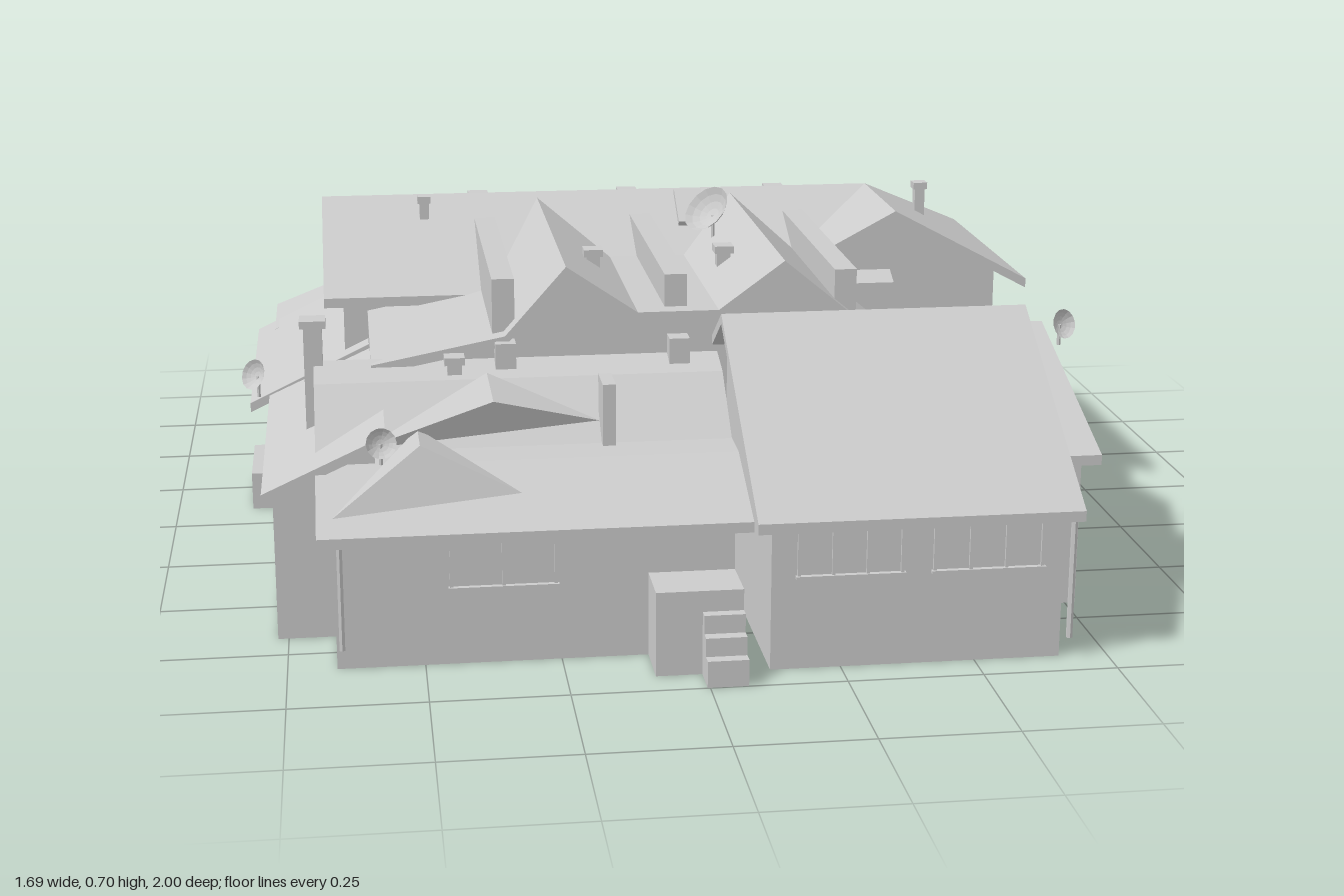
import * as THREE from 'three';
import { mergeGeometries } from 'three/addons/utils/BufferGeometryUtils.js';

export function createModel() {
  const model = new THREE.Group();
  const mat = new THREE.MeshStandardMaterial({ color: 0xcccccc, flatShading: true, side: THREE.DoubleSide });
  const add = (name, geo, parent = model) => {
    const m = new THREE.Mesh(geo, mat);
    m.name = name;
    parent.add(m);
    return m;
  };
  // Box from its limits
  const box = (name, x0, x1, y0, y1, z0, z1) =>
    add(name, new THREE.BoxGeometry(x1 - x0, y1 - y0, z1 - z0)
      .translate((x0 + x1) / 2, (y0 + y1) / 2, (z0 + z1) / 2));
  // Loose triangles from a list of corners
  const triangles = (name, ...corners) => {
    const geo = new THREE.BufferGeometry();
    geo.setAttribute('position', new THREE.Float32BufferAttribute(corners.flat(), 3));
    geo.computeVertexNormals();
    return add(name, geo);
  };
  const shapeOf = pts => new THREE.Shape(pts.map(p => new THREE.Vector2(p[0], p[1])));

  // Thick folded roof sheet: profile [across, y], running along 'x' or 'z' from a to b
  const roof = (name, axis, pts, a, b, t = 0.02) => {
    const under = pts.map(([u, y]) => [u, y - t]).reverse();
    const geo = new THREE.ExtrudeGeometry(shapeOf([...pts, ...under]), { depth: b - a, bevelEnabled: false });
    if (axis === 'z') geo.translate(0, 0, a);
    else geo.translate(0, 0, -b).rotateY(-Math.PI / 2);
    return add(name, geo);
  };

  // Open-bottomed walls that follow a roof profile, set in from the eaves
  const walls = (name, axis, pts, a, b, inset = 0.03) => {
    const p = pts.map(([u, y]) => [u, y - 0.012]);
    const pull = (end, next) => {
      const f = inset / Math.abs(next[0] - end[0]);
      return [end[0] + (next[0] - end[0]) * f, end[1] + (next[1] - end[1]) * f];
    };
    const n = p.length - 1;
    const first = pull(p[0], p[1]), last = pull(p[n], p[n - 1]);
    p[0] = first;
    p[n] = last;
    const end = shapeOf([[first[0], 0], ...p, [last[0], 0]]);
    const parts = [a, b].map(d => new THREE.ShapeGeometry(end).translate(0, 0, d));
    for (const [u, y] of [first, last])
      parts.push(new THREE.PlaneGeometry(b - a, y).rotateY(Math.PI / 2).translate(u, y / 2, (a + b) / 2));
    const geo = mergeGeometries(parts);
    if (axis === 'x') geo.scale(1, 1, -1).rotateY(-Math.PI / 2);
    return add(name, geo);
  };

  // A wing is a roof with walls below it
  const wing = (name, axis, pts, a, b, over = [0.03, 0.03], inset = 0.03) => {
    roof(name + 'Roof', axis, pts, a, b);
    walls(name + 'Walls', axis, pts, a + over[0], b - over[1], inset);
  };

  // Main range along the back, with a front gable and hipped corner at its +x end
  wing('main', 'x', [[-0.58, 0.5], [-0.27, 0.655], [0.04, 0.5]], -0.67, 0.54, [0.04, 0], 0.05);
  const crossGable = [[0.25, 0.5], [0.54, 0.655], [0.83, 0.5]];
  walls('crossGableWalls', 'z', crossGable, -0.24, 0.0, 0.06);
  roof('crossGableRoof', 'z', crossGable, -0.27, 0.04);
  const P = [0.54, 0.655, -0.27], E = [0.83, 0.5, -0.58], M = [0.54, 0.5, -0.58], S = [0.83, 0.5, -0.27];
  triangles('hipRoof', P, E, M, P, S, E);
  box('hipFasciaBack', 0.54, 0.83, 0.48, 0.5, -0.58, -0.565);
  box('hipFasciaSide', 0.815, 0.83, 0.48, 0.5, -0.58, -0.27);
  add('cornerWallBack', new THREE.PlaneGeometry(0.23, 0.49).translate(0.655, 0.245, -0.53));
  add('cornerWallSide', new THREE.PlaneGeometry(0.53, 0.49).rotateY(Math.PI / 2).translate(0.77, 0.245, -0.265));

  // Twin ridges running forward, with side slopes and three tall upstands
  wing('twinRidge', 'z', [[-0.58, 0.46], [-0.32, 0.51], [-0.2, 0.645], [-0.06, 0.55], [0.1, 0.55],
    [0.23, 0.645], [0.54, 0.39]], -0.27, 0.43, [0.1, 0.02], 0.02);
  for (const x of [-0.32, 0.02, 0.36]) {
    box('ridgeUpstand', x - 0.022, x + 0.022, 0.48, 0.615, -0.2, 0.39);
    box('upstandFoot', x - 0.02, x + 0.02, 0.42, 0.5, 0.39, 0.45);
    box('rearVent', x - 0.022, x + 0.022, 0.54, 0.625, -0.45, -0.35);
  }
  // Shallow gablets on the rear slope
  for (const x of [-0.19, 0.23]) {
    const A = [x, 0.642, -0.31], B = [x - 0.12, 0.545, -0.51], C = [x + 0.12, 0.545, -0.51], D = [x, 0.6, -0.4];
    triangles('rearGablet', A, D, B, A, C, D);
  }

  // Steep front block at +x
  wing('frontBlock', 'x', [[0.96, 0.29], [0.52, 0.565], [0.34, 0.45]], 0.09, 0.69);

  // Stepped front range at -x, with two small gables that die into its slope
  wing('frontRange', 'x', [[0.86, 0.26], [0.68, 0.338], [0.6, 0.34], [0.48, 0.44], [0.4, 0.465]], -0.69, 0.1);
  roof('frontRangeBackSlope', 'x', [[0.48, 0.44], [0.3, 0.38]], -0.69, -0.56);
  const gablet = (name, back, ridge, left, right) => {
    triangles(name + 'Roof', back, left, ridge, back, ridge, right);
    triangles(name + 'Face', ridge, left, right);
  };
  gablet('upperFrontGable', [-0.36, 0.455, 0.49], [-0.36, 0.455, 0.69], [-0.6, 0.37, 0.68], [-0.16, 0.4, 0.65]);
  gablet('lowerFrontGable', [-0.5, 0.4, 0.66], [-0.5, 0.41, 0.8], [-0.66, 0.29, 0.835], [-0.32, 0.325, 0.835]);

  // Side wings at +x
  wing('sideWing', 'x', [[0.7, 0.31], [0.27, 0.465], [0.04, 0.4]], 0.38, 0.8);
  wing('lowSideWing', 'x', [[0.29, 0.26], [0.03, 0.41], [-0.18, 0.335], [-0.44, 0.28]], 0.5, 0.83, [0.03, 0.05]);

  // Lean-to along the -x side
  wing('rearLeanTo', 'z', [[-0.83, 0.28], [-0.58, 0.4]], -0.58, 0.04, [0.02, 0.0], 0.05);
  wing('frontLeanTo', 'z', [[-0.79, 0.295], [-0.56, 0.4]], 0.04, 0.7, [0, 0.03], 0.02);

  // Rear gabled wings and terrace
  wing('rearWingA', 'z', [[-0.05, 0.32], [0.33, 0.42], [0.65, 0.33]], -0.82, -0.5, [0.03, 0]);
  wing('rearWingB', 'z', [[-0.79, 0.3], [-0.38, 0.46], [0.02, 0.31]], -0.74, -0.5, [0.03, 0]);
  wing('terrace', 'x', [[-0.7, 0.115], [-1, 0.115]], -0.67, 0.33, [0, 0], 0);
  box('terraceKerb', 0.27, 0.33, 0.115, 0.125, -1, -0.79);
  box('rearRoofBox', -0.5, -0.33, 0.42, 0.52, -0.63, -0.57);
  box('sideBench', -0.84, -0.77, 0, 0.08, -0.31, -0.1);

  // Porch and steps
  box('porch', -0.09, 0.07, 0, 0.16, 0.8, 0.935);
  for (let i = 0; i < 3; i++)
    box('step', -0.005, 0.07, 0, 0.12 - i * 0.035, 0.93 + i * 0.022, 0.955 + i * 0.022);

  // Framed windows: on x walls (side) or z walls (front)
  const windowAt = (axis, at, u0, u1, y0, y1, panes = 1) => {
    const put = (n, a, b, c, d, t) => axis === 'z'
      ? box(n, a, b, c, d, at - t, at + t) : box(n, at - t, at + t, a > b ? b : c, a > b ? a : d, a, b);
    const f = 0.006;
    put('windowSill', u0 - f, u1 + f, y0 - f, y0, 0.01);
    put('windowHead', u0, u1, y1 - f, y1, 0.006);
    for (let i = 0; i <= panes; i++) {
      const u = u0 + (u1 - u0) * i / panes;
      put('windowBar', u - f / 2, u + f / 2, y0, y1, 0.006);
    }
  };
  windowAt('z', 0.93, 0.17, 0.36, 0.18, 0.28, 3);
  windowAt('z', 0.93, 0.42, 0.62, 0.18, 0.28, 3);
  windowAt('z', 0.83, -0.45, -0.26, 0.15, 0.245, 2);
  for (const z of [0.02, -0.16, -0.34]) windowAt('x', 0.8, z - 0.04, z + 0.04, 0.21, 0.25);
  windowAt('x', 0.77, -0.265, -0.19, 0.36, 0.48);
  windowAt('x', -0.78, -0.5, -0.15, 0.12, 0.25, 3);
  box('sideLedge', 0.77, 0.81, 0.125, 0.137, -0.44, -0.08);
  box('sidePipe', 0.77, 0.78, 0.17, 0.178, 0.38, 0.49);
  box('rearRail', 0.05, 0.5, 0.2, 0.21, -0.8, -0.785);

  // Chimneys and roof vents
  const chimney = (x, z, y0, y1, r) => {
    box('chimney', x - r, x + r, y0, y1, z - r, z + r);
    box('chimneyCap', x - r * 1.4, x + r * 1.4, y1 - 0.015, y1, z - r * 1.4, z + r * 1.4);
  };
  chimney(-0.69, 0.4, 0.3, 0.55, 0.018);
  chimney(0.66, -0.25, 0.54, 0.66, 0.011);
  chimney(-0.45, -0.2, 0.58, 0.665, 0.01);
  chimney(-0.12, 0.16, 0.55, 0.62, 0.014);
  chimney(0.15, 0.16, 0.55, 0.62, 0.014);
  chimney(-0.42, 0.45, 0.42, 0.48, 0.014);
  chimney(0.52, 0.33, 0.42, 0.49, 0.014);
  box('roofVent', -0.15, -0.125, 0.34, 0.46, 0.54, 0.62);
  // Raised skylight panel in the front slope
  const skylight = add('skylight', new THREE.BoxGeometry(0.06, 0.012, 0.1));
  skylight.position.set(0.13, 0.63, -0.18);
  skylight.rotation.x = 0.6;

  // Dishes on short masts
  const dish = (x, y, z, r, yaw, tilt) => {
    const g = new THREE.Group();
    g.name = 'dish';
    const bowl = new THREE.SphereGeometry(r * 1.3, 14, 4, 0, Math.PI * 2, 0, 0.88).translate(0, -r * 1.3, 0);
    add('dishBowl', bowl.rotateX(-Math.PI / 2), g).rotation.set(tilt, yaw, 0, 'YXZ');
    add('dishMast', new THREE.CylinderGeometry(0.004, 0.004, r * 1.4, 6).translate(0, -r * 0.7, 0), g);
    g.position.set(x, y, z);
    model.add(g);
  };
  dish(-0.81, 0.35, 0.08, 0.032, -0.8, -0.4);
  dish(0.81, 0.48, 0.36, 0.03, 0.5, -0.3);
  dish(0.32, 0.37, -0.84, 0.04, 2.4, -0.4);
  dish(0.16, 0.64, -0.04, 0.055, -1, -0.7);
  dish(-0.57, 0.41, 0.78, 0.028, 0.1, -0.3);

  // Rain pipes
  for (const [x, z, y] of [[-0.65, 0.84, 0.25], [0.675, 0.94, 0.28], [0.775, -0.535, 0.48], [0.775, 0.38, 0.2], [0.63, -0.8, 0.32]])
    add('rainPipe', new THREE.CylinderGeometry(0.006, 0.006, y - 0.04, 6).translate(x, (y + 0.04) / 2, z));

  return model;
}
